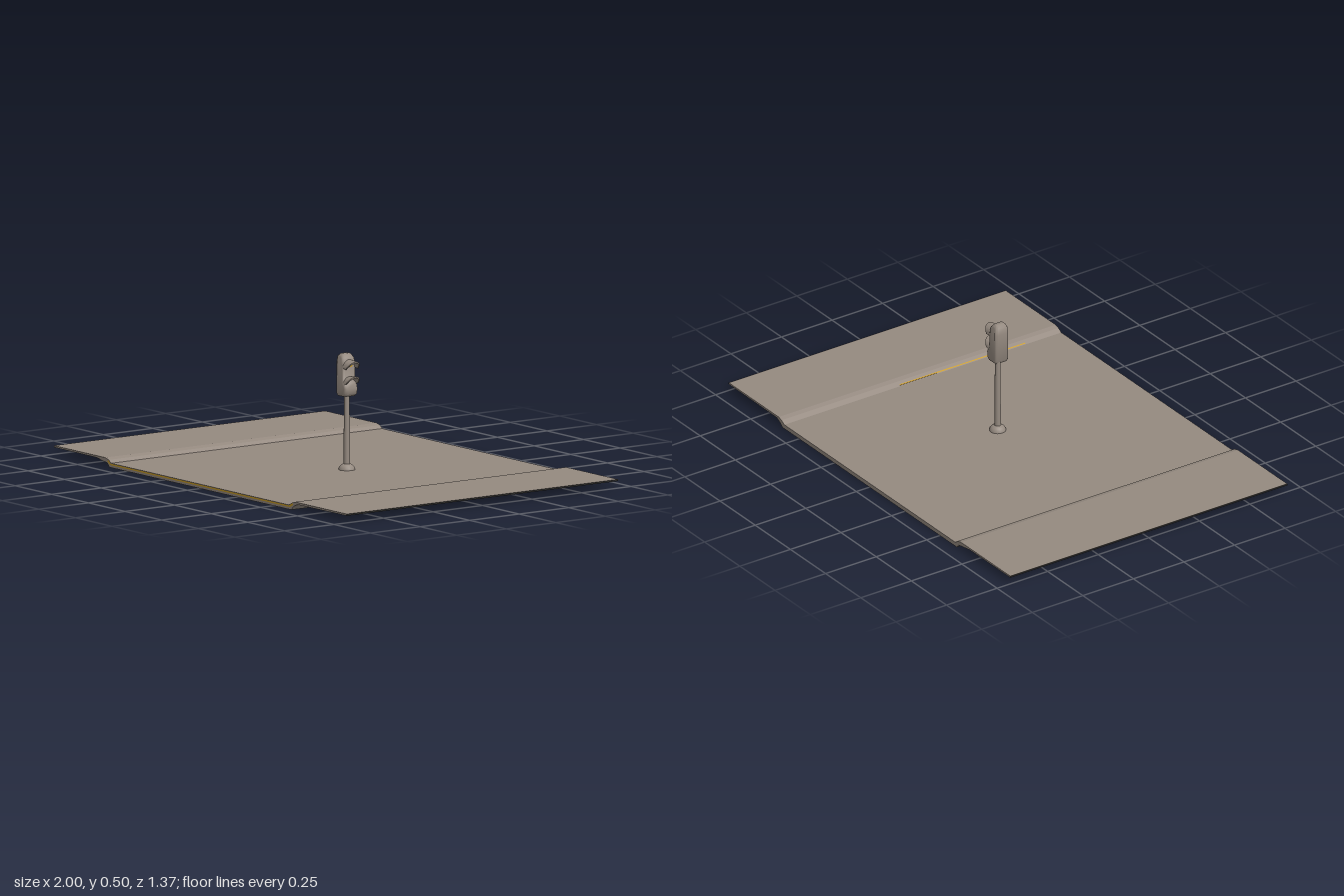
import * as THREE from 'three';
import { toCreasedNormals } from 'three/addons/utils/BufferGeometryUtils.js';
import { ParametricGeometry } from 'three/addons/geometries/ParametricGeometry.js';

const DEPTH = 1.37;
const HEAD_Z = 0.016;

function mat(name, color) {
  const m = new THREE.MeshStandardMaterial({ color, side: THREE.DoubleSide });
  m.name = name;
  return m;
}

function shapeOf(points) {
  return new THREE.Shape(points.map(([x, y]) => new THREE.Vector2(x, y)));
}

// Arched lamp visor: a thick half tube running toward +x, cut back at its sides
function visorGeometry(y, rise) {
  const corners = [[0, 0.82], [1, 0.82], [1, 1], [0, 1], [0, 0.82]]; // along x, radius factor
  const geo = new ParametricGeometry((u, v, target) => {
    const [along, r] = corners[Math.round(v * 4)];
    const t = u * Math.PI;
    const reach = 0.026 + 0.027 * Math.sin(t);
    target.set(
      0.105 + along * reach,
      y + Math.sin(t) * 0.033 * r + along * rise,
      HEAD_Z + Math.cos(t) * 0.032 * r
    );
  }, 14, 4);
  return toCreasedNormals(geo, 0.7);
}

// Signal housing: side outline extruded across its width, narrowing to the top
function housingGeometry() {
  const bevel = 0.011, width = 0.066;
  const geo = new THREE.ExtrudeGeometry(shapeOf([
    [0.061, 0.34], [0.070, 0.326], [0.115, 0.326], [0.128, 0.336], [0.131, 0.36],
    [0.124, 0.382], [0.114, 0.392], [0.113, 0.465], [0.109, 0.485], [0.094, 0.501],
    [0.076, 0.501], [0.064, 0.490], [0.061, 0.46],
  ]), {
    depth: width - 2 * bevel, bevelThickness: bevel, bevelSize: bevel,
    bevelOffset: -bevel, bevelSegments: 4,
  });
  geo.translate(0, 0, bevel - width / 2);
  const p = geo.attributes.position;
  for (let i = 0; i < p.count; i++) {
    const taper = THREE.MathUtils.clamp((p.getY(i) - 0.465) / 0.036, 0, 1);
    p.setZ(i, p.getZ(i) * (1 - 0.3 * taper * taper));
  }
  geo.computeVertexNormals();
  return toCreasedNormals(geo, 0.9);
}

export function createModel() {
  const group = new THREE.Group();
  const grey = mat('warm grey', 0x958a80);
  const gold = mat('worn yellow', 0xc89a26);
  const dark = mat('dark edge', 0x2c2b29);

  function add(name, geometry, material, x = 0, y = 0, z = 0) {
    const mesh = new THREE.Mesh(geometry, material);
    mesh.name = name;
    mesh.position.set(x, y, z);
    group.add(mesh);
    return mesh;
  }

  // Sunken road with a raised pavement on each side, as one thin sheet
  const ground = new THREE.ExtrudeGeometry(shapeOf([
    [-0.999, 0.029], [-0.71, 0.028], [-0.67, 0.021], [-0.635, 0.016], [-0.62, 0],
    [0.62, 0], [0.635, 0.015], [0.66, 0.027], [0.999, 0.029],
    [0.999, 0.036], [0.645, 0.036], [0.625, 0.030], [0.605, 0.018],
    [-0.61, 0.018], [-0.625, 0.030], [-0.65, 0.036], [-0.999, 0.036],
  ]), { depth: DEPTH, bevelEnabled: false });
  add('roadAndPavements', ground, grey, 0, 0, -DEPTH / 2);

  // Dark outer edges of the pavements
  for (const side of [-1, 1]) {
    add('pavementEdge', new THREE.BoxGeometry(0.001, 0.007, DEPTH), dark, side * 0.9995, 0.0325, 0);
  }

  // Yellow line on the front edge of the road, turning up at both kerbs
  add('frontEdgeLine', new THREE.ShapeGeometry(shapeOf([
    [-0.634, 0.022], [-0.614, 0.010], [0.611, 0.010], [0.634, 0.022],
    [0.628, 0.029], [0.606, 0.016], [-0.611, 0.016], [-0.628, 0.029],
  ])), gold, 0, 0, DEPTH / 2 + 0.0006);

  // Worn yellow line along the slope of the left kerb
  const kerbLine = add('kerbLine', new THREE.BoxGeometry(0.005, 0.001, 0.62), gold, 0.61, 0.0213, 0.2);
  kerbLine.rotation.z = Math.atan2(0.012, 0.02);

  // Yellow patches under the left pavement: x, z, width, length
  [[0.668, 0.6, 0.018, 0.09], [0.668, 0.36, 0.018, 0.07], [0.668, 0.12, 0.018, 0.07],
    [0.676, -0.06, 0.032, 0.12], [0.69, -0.2, 0.05, 0.13], [0.686, -0.46, 0.045, 0.11],
  ].forEach(([x, z, w, l]) => {
    add('undersidePatch', new THREE.BoxGeometry(w, 0.003, l), gold, x, 0.0268, z);
  });

  // Yellow patches on the outer slope of the left kerb: z, length
  [[0.37, 0.1], [-0.42, 0.08], [-0.62, 0.04]].forEach(([z, l]) => {
    const patch = add('kerbPatch', new THREE.BoxGeometry(0.009, 0.002, l), gold, 0.63, 0.01, z);
    patch.rotation.z = Math.PI / 4;
  });

  // Pole and its flared foot
  add('pole', new THREE.CylinderGeometry(0.0115, 0.0135, 0.31, 16), grey, 0.075, 0.185, 0.001);
  const foot = [[0.034, 0.015], [0.033, 0.026], [0.026, 0.035], [0.015, 0.042], [0, 0.044]];
  add('poleFoot', new THREE.LatheGeometry(foot.map(([x, y]) => new THREE.Vector2(x, y)), 20),
    grey, 0.075, 0, 0.001);

  add('signalHousing', housingGeometry(), grey, 0, 0, HEAD_Z);

  // Visors over the two lamps
  add('upperVisor', visorGeometry(0.445, -0.004), grey);
  add('lowerVisor', visorGeometry(0.374, 0.006), grey);

  // Upper lamp facing +x
  const lamp = add('upperLamp', new THREE.CylinderGeometry(0.009, 0.009, 0.006, 16), gold, 0.114, 0.456, 0.012);
  lamp.rotation.z = -Math.PI / 2;

  return group;
}
